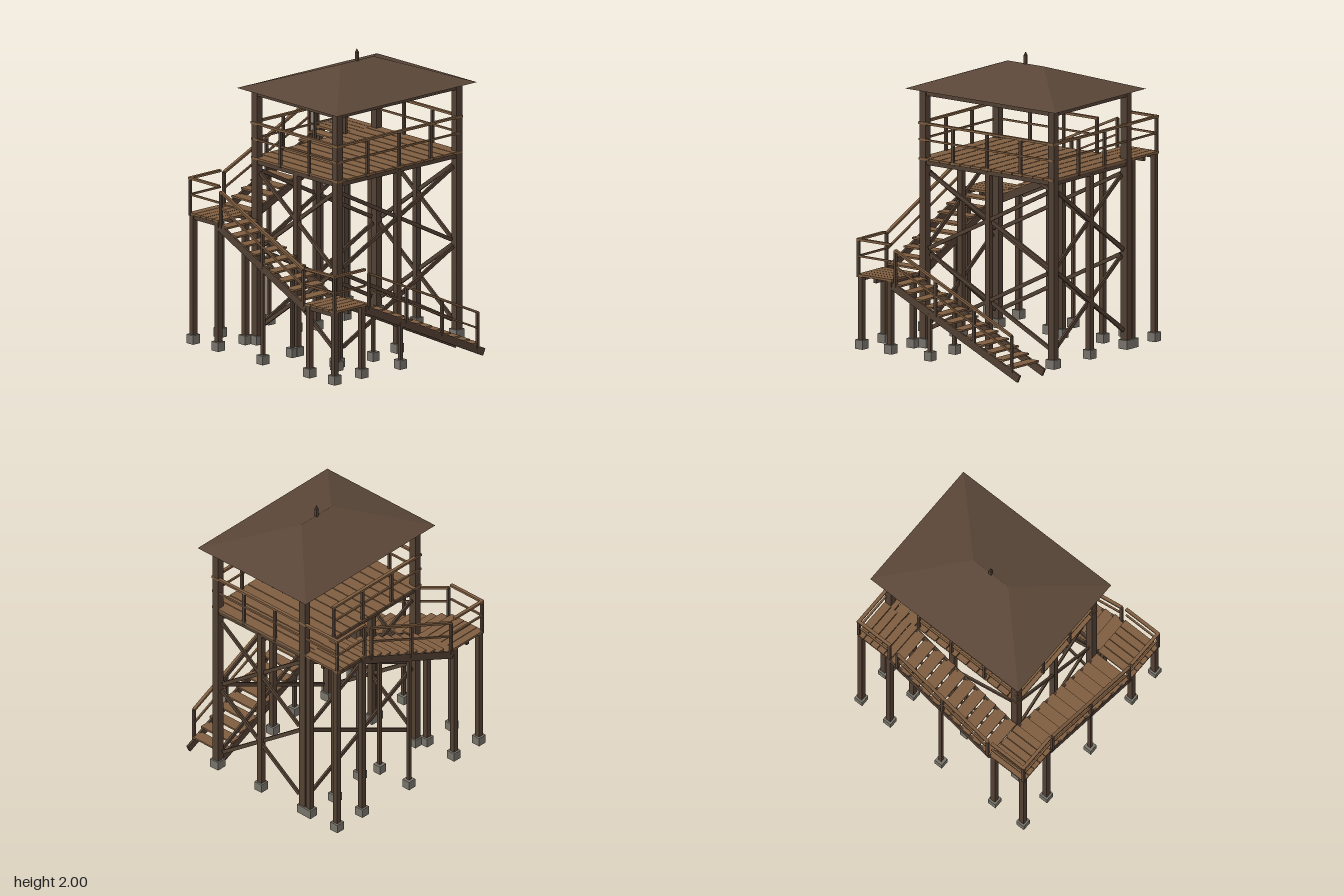
import * as THREE from 'three';

const mat = (name, color) => Object.assign(new THREE.MeshStandardMaterial({ color }), { name });

export function createModel() {
  const timber = mat('dark timber', 0x524033);
  const plank = mat('plank wood', 0x7e5d40);
  const roofing = mat('roof brown', 0x5a4638);
  const stone = mat('footing stone', 0x77736a);
  const model = new THREE.Group();
  model.name = 'lookoutTower';
  const V = (x, y, z) => new THREE.Vector3(x, y, z);

  const group = (name) => {
    const g = new THREE.Group();
    g.name = name;
    model.add(g);
    return g;
  };
  // Axis-aligned box given by its centre
  const box = (parent, name, m, w, h, d, x, y, z) => {
    const mesh = new THREE.Mesh(new THREE.BoxGeometry(w, h, d), m);
    mesh.name = name;
    mesh.position.set(x, y, z);
    parent.add(mesh);
    return mesh;
  };
  // Straight beam between two points, its height kept in the vertical plane
  const beam = (parent, name, m, a, b, w, h) => {
    const mid = a.clone().add(b).multiplyScalar(0.5);
    const mesh = box(parent, name, m, w, h, a.distanceTo(b), mid.x, mid.y, mid.z);
    mesh.lookAt(b);
    return mesh;
  };
  // Post standing on a stone block
  const footedPost = (parent, name, x, z, top, w, foot = 0.062) => {
    box(parent, name, timber, w, top - 0.08, w, x, (top + 0.08) / 2, z);
    box(parent, 'footing', stone, foot, 0.06, foot, x, 0.083, z);
  };

  // Tower frame
  const L = -0.4, R = 0.645, CX = (L + R) / 2, Z = 0.38, DECK = 1.3;
  const frame = group('towerFrame');
  for (const z of [-Z, Z]) {
    for (const x of [L, R]) footedPost(frame, 'cornerPost', x, z, 1.755, 0.05, 0.07);
    footedPost(frame, 'middlePost', CX, z, 1.27, 0.038);
    box(frame, 'roofBeam', timber, R - L, 0.04, 0.035, CX, 1.73, z);
    box(frame, 'deckBeam', timber, R - L + 0.05, 0.03, 0.035, CX, 1.27, z);
  }
  for (const x of [L, R]) {
    footedPost(frame, 'middlePost', x, 0, 1.27, 0.038);
    box(frame, 'roofBeam', timber, 0.035, 0.04, 2 * Z, x, 1.73, 0);
    box(frame, 'deckBeam', timber, 0.035, 0.03, 2 * Z, x, 1.27, 0);
  }
  for (let i = 1; i < 4; i++)
    box(frame, 'joist', timber, R - L, 0.025, 0.025, CX, 1.273, -Z + i * Z / 2);

  // Cross braces in two tiers on all four sides
  for (const [lo, hi] of [[0.18, 0.67], [0.71, 1.2]]) {
    for (const s of [-1, 1]) {
      for (const z of [-Z, Z])
        beam(frame, 'brace', timber, V(CX - s * 0.483, lo, z + s * 0.008), V(CX + s * 0.483, hi, z + s * 0.008), 0.015, 0.025);
      for (const x of [L, R])
        beam(frame, 'brace', timber, V(x + s * 0.008, lo, -s * 0.34), V(x + s * 0.008, hi, s * 0.34), 0.015, 0.025);
    }
  }

  // Main deck
  const deck = group('deck');
  const N = 13, pitch = 1.1 / N;
  for (let i = 0; i < N; i++)
    box(deck, 'deckPlank', plank, pitch - 0.006, 0.015, 0.82, -0.43 + (i + 0.5) * pitch, DECK - 0.0075, 0);

  // Railing run: two rails from a to b (at floor level) with posts at given fractions
  const railing = (parent, a, b, stops, height = 0.228) => {
    const up = (p, h) => p.clone().setY(p.y + h);
    beam(parent, 'topRail', plank, up(a, height), up(b, height), 0.022, 0.015);
    beam(parent, 'midRail', plank, up(a, height / 2 + 0.005), up(b, height / 2 + 0.005), 0.012, 0.012);
    for (const t of stops) {
      const p = a.clone().lerp(b, t);
      box(parent, 'railPost', timber, 0.018, height + 0.02, 0.018, p.x, p.y + height / 2 - 0.01, p.z);
    }
  };
  const rails = group('deckRailing');
  railing(rails, V(-0.43, DECK, 0.4), V(0.67, DECK, 0.4), [0.25, 0.5, 0.75]);
  railing(rails, V(-0.43, DECK, -0.4), V(0.4, DECK, -0.4), [0.335, 0.665, 0.99]);
  railing(rails, V(-0.42, DECK, -0.41), V(-0.42, DECK, 0.41), [0.335, 0.665]);
  railing(rails, V(0.66, DECK, -0.69), V(0.66, DECK, 0.41), [0.01, 0.505, 0.75]);
  railing(rails, V(0.4, DECK, -0.68), V(0.67, DECK, -0.68), [0.02]);

  // Square stair landing; planks run along x or along z
  const landing = (name, cx, cz, top, alongX) => {
    const g = group(name);
    const n = 5, size = 0.28, p = size / n;
    for (let i = 0; i < n; i++) {
      const o = -size / 2 + (i + 0.5) * p;
      if (alongX) box(g, 'landingPlank', plank, size, 0.015, p - 0.004, cx, top - 0.0075, cz + o);
      else box(g, 'landingPlank', plank, p - 0.004, 0.015, size, cx + o, top - 0.0075, cz);
    }
    for (const s of [-1, 0, 1]) {
      if (alongX) box(g, 'landingJoist', timber, 0.022, 0.028, 0.26, cx + s * 0.12, top - 0.029, cz);
      else box(g, 'landingJoist', timber, 0.26, 0.028, 0.022, cx, top - 0.029, cz + s * 0.12);
    }
    for (const sx of [-1, 1]) {
      for (const sz of [-1, 1])
        footedPost(g, 'landingPost', cx + sx * 0.118, cz + sz * 0.118, top - 0.015, 0.036);
    }
    return g;
  };
  const C = 0.55, X0 = -0.572;
  const low = landing('lowerLanding', X0, C, 0.543, true);
  const mid = landing('middleLanding', X0, -C, 0.925, true);
  landing('upperLanding', 0.532, -C, DECK, false);
  for (const [g, y, s] of [[low, 0.543, 1], [mid, 0.925, -1]]) {
    railing(g, V(-0.705, y, s * 0.41), V(-0.705, y, s * 0.69), [0.97]);
    railing(g, V(-0.71, y, s * 0.683), V(-0.44, y, s * 0.683), []);
  }

  // Stair flight from low point a to high point b; side points to the railed edge
  const flight = (name, a, b, side, n, firstTread, stops, support) => {
    const g = group(name);
    const run = b.clone().sub(a);
    const alongX = Math.abs(run.x) > Math.abs(run.z);
    for (const s of [-1, 1]) {
      const o = side.clone().multiplyScalar(s * 0.129).setY(-0.029);
      beam(g, 'stringer', timber, a.clone().add(o), b.clone().add(o), 0.016, 0.05);
    }
    for (let i = 0; i < n; i++) {
      const p = a.clone().addScaledVector(run, firstTread + (i + 0.5) * (1 - firstTread) / n);
      box(g, 'tread', plank, alongX ? 0.08 : 0.27, 0.012, alongX ? 0.27 : 0.08, p.x, p.y, p.z);
    }
    // Handrail on the outer edge
    const edge = side.clone().multiplyScalar(0.133);
    const from = a.clone().addScaledVector(run, stops[0] - 0.005).add(edge);
    const to = a.clone().addScaledVector(run, stops[stops.length - 1] + 0.005).add(edge);
    railing(g, from, to, stops.slice(0).map((t) => (t - stops[0]) / (stops[stops.length - 1] - stops[0])), 0.22);
    // Pair of posts under the flight
    const q = a.clone().addScaledVector(run, support);
    for (const s of [-1, 1])
      footedPost(g, 'stairPost', q.x + side.x * s * 0.128, q.z + side.z * s * 0.128, q.y - 0.03, 0.022, 0.058);
  };
  flight('lowerStairs', V(0.6, 0.055, C), V(-0.43, 0.53, C), V(0, 0, 1), 12, 0.04, [0.06, 0.355, 0.655, 0.97], 0.704);
  flight('middleStairs', V(X0, 0.53, 0.41), V(X0, 0.91, -0.41), V(-1, 0, 0), 9, 0.02, [0.03, 0.5, 0.97], 0.5);
  flight('upperStairs', V(-0.43, 0.905, -C), V(0.41, 1.285, -C), V(0, 0, -1), 10, 0, [0.03, 0.47, 0.91], 0.49);

  // Hipped roof: a box whose top corners are drawn in to the ridge
  const roofGeo = new THREE.BoxGeometry(1.225, 0.165, 0.945).toNonIndexed();
  const pos = roofGeo.attributes.position;
  for (let i = 0; i < pos.count; i++)
    if (pos.getY(i) > 0) pos.setXYZ(i, Math.sign(pos.getX(i)) * 0.145, 0.0825, Math.sign(pos.getZ(i)) * 0.001);
  roofGeo.computeVertexNormals();
  const roof = group('roofGroup');
  const hip = new THREE.Mesh(roofGeo, roofing);
  hip.name = 'roof';
  hip.position.set(CX, 1.8375, 0);
  roof.add(hip);

  // Finial on the ridge
  box(roof, 'finial', timber, 0.02, 0.08, 0.02, CX, 1.935, 0);
  const tip = new THREE.Mesh(new THREE.ConeGeometry(0.014, 0.028, 4), timber);
  tip.name = 'finialTip';
  tip.rotation.y = Math.PI / 4;
  tip.position.set(CX, 1.986, 0);
  roof.add(tip);

  return model;
}
